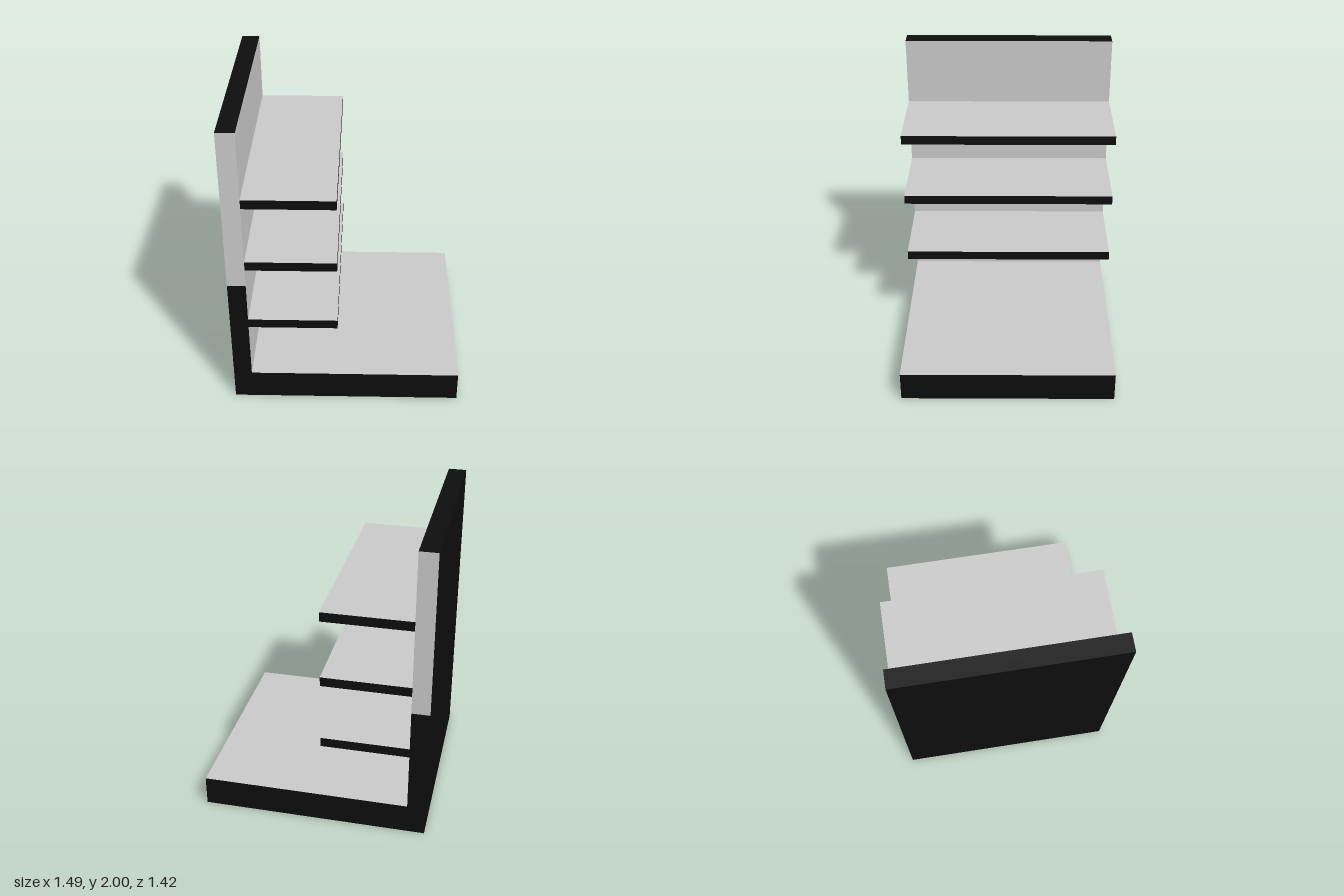
import * as THREE from 'three';

export function createModel() {
  const group = new THREE.Group();
  const black = new THREE.MeshStandardMaterial({ color: 0x0d0d0d });
  black.name = 'black';
  const grey = new THREE.MeshStandardMaterial({ color: 0xc9c9c9 });
  grey.name = 'light grey';

  const depth = 1.42;
  const left = -0.745, inner = -0.627, right = 0.745;

  // Box between two x and two y limits; materials in order +x, -x, +y, -y, +z, -z
  function slab(name, x0, x1, y0, y1, materials) {
    const mesh = new THREE.Mesh(new THREE.BoxGeometry(x1 - x0, y1 - y0, depth), materials);
    mesh.position.set((x0 + x1) / 2, (y0 + y1) / 2, 0);
    mesh.name = name;
    group.add(mesh);
  }

  const greyTop = [black, black, grey, black, black, black];

  // Base platform
  slab('base', inner, right, 0, 0.2, greyTop);

  // Upright panel: grey inside, black outside, edges change colour part way up
  slab('lowerPanel', left, inner, 0, 0.92, [grey, black, black, black, black, black]);
  slab('upperPanel', left, inner, 0.92, 2, [grey, black, black, black, grey, grey]);

  // Three evenly spaced shelves
  for (let i = 0; i < 3; i++) {
    const y = 0.59 + i * 0.45;
    slab('shelf' + (i + 1), inner, -0.053, y, y + 0.062, greyTop);
  }

  return group;
}
